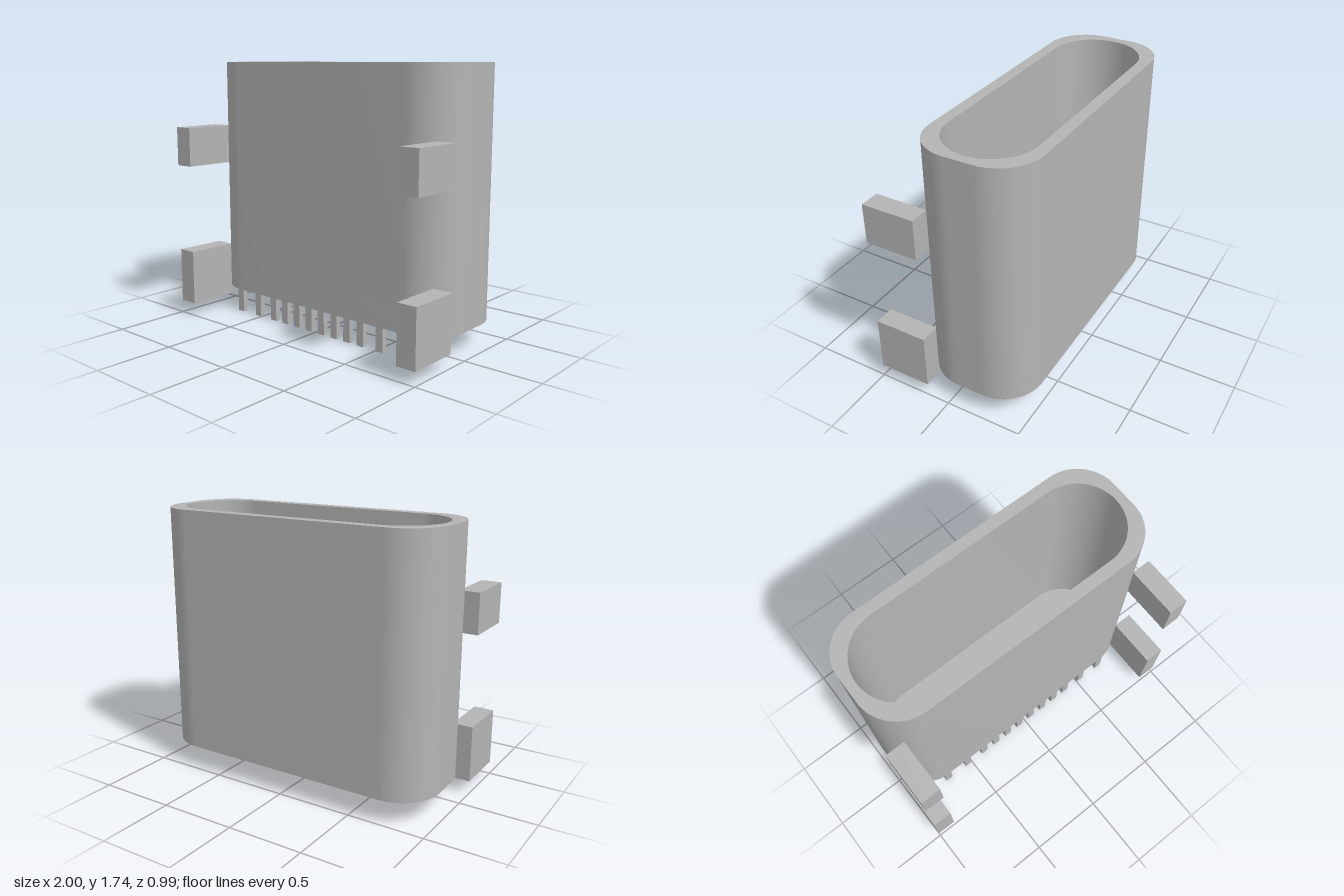
import * as THREE from 'three';
import { toCreasedNormals } from 'three/addons/utils/BufferGeometryUtils.js';

const CENTRE_Z = -0.14; // centre of the shell, front to back

// Rounded rectangle outline, centred on the origin
function outline(path, hx, hy, r) {
  path.absarc(hx - r, hy - r, r, 0, Math.PI / 2);
  path.absarc(-hx + r, hy - r, r, Math.PI / 2, Math.PI);
  path.absarc(-hx + r, -hy + r, r, Math.PI, Math.PI * 1.5);
  path.absarc(hx - r, -hy + r, r, Math.PI * 1.5, Math.PI * 2);
  path.closePath();
  return path;
}

export function createModel() {
  const model = new THREE.Group();
  model.name = 'socketConnector';
  const metal = new THREE.MeshStandardMaterial({ color: 0xb4b4b4 });
  metal.name = 'grey metal';

  const add = (name, geometry) => {
    const mesh = new THREE.Mesh(geometry, metal);
    mesh.name = name;
    model.add(mesh);
  };

  // Upright extrusion of the shell outline between two heights
  const upright = (name, shape, y0, y1) => {
    let g = new THREE.ExtrudeGeometry(shape, { depth: y1 - y0, bevelEnabled: false, curveSegments: 20 });
    g.rotateX(-Math.PI / 2).translate(0, y0, CENTRE_Z);
    add(name, toCreasedNormals(g, 0.6));
  };

  // Box given by its lower and upper corners
  const block = (name, x0, x1, y0, y1, z0, z1) => {
    const g = new THREE.BoxGeometry(x1 - x0, y1 - y0, z1 - z0);
    add(name, g.translate((x0 + x1) / 2, (y0 + y1) / 2, (z0 + z1) / 2));
  };

  // Hollow shell with a solid base
  const wall = outline(new THREE.Shape(), 0.965, 0.354, 0.265);
  wall.holes.push(outline(new THREE.Path(), 0.905, 0.28, 0.279));
  upright('shellWall', wall, 0.3, 1.737);
  upright('shellBase', outline(new THREE.Shape(), 0.965, 0.354, 0.265), 0.155, 0.3);

  for (const [side, s] of [['left', 1], ['right', -1]]) {
    // Mounting tabs on the front corners
    const x0 = Math.min(s * 0.87, s), x1 = Math.max(s * 0.87, s);
    block(side + 'UpperTab', x0, x1, 1.04, 1.3, 0.15, 0.497);
    block(side + 'LowerTab', x0, x1, 0.085, 0.45, 0.15, 0.497);

    // Contact pins below the front edge
    [0.054, 0.163, 0.271, 0.38, 0.53, 0.704].forEach((x, i) =>
      block(side + 'Pin' + (i + 1), s * x - 0.026, s * x + 0.026, 0, 0.165, 0.179, 0.214));
  }
  return model;
}
